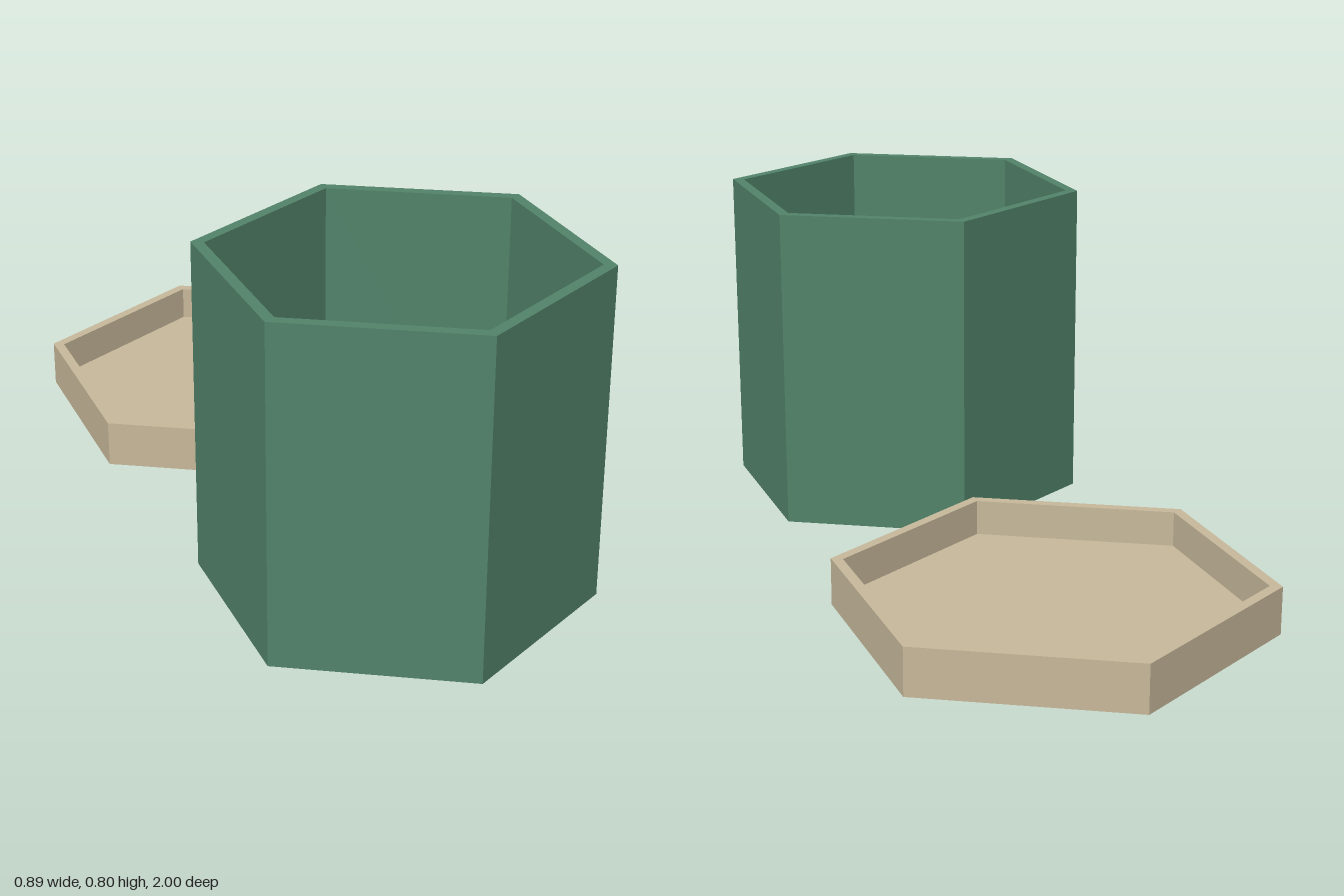
import * as THREE from 'three';

// Hexagon outline with a corner pointing along z
function hexPoints(radius) {
  return Array.from({ length: 6 }, (_, i) => {
    const a = Math.PI / 2 + (i * Math.PI) / 3;
    return new THREE.Vector2(radius * Math.cos(a), radius * Math.sin(a));
  });
}

// Extrude a shape upwards from y = 0
function extrudeUp(shape, height, material, name) {
  const geometry = new THREE.ExtrudeGeometry(shape, { depth: height, bevelEnabled: false, curveSegments: 32 });
  geometry.rotateX(-Math.PI / 2);
  const mesh = new THREE.Mesh(geometry, material);
  mesh.name = name;
  return mesh;
}

// Open hexagonal vessel: wall ring plus a floor, with an optional round drain hole
function hexVessel({ name, outer, inner, height, floor, drain, z, material }) {
  const vessel = new THREE.Group();
  vessel.name = name;

  const wall = new THREE.Shape(hexPoints(outer));
  wall.holes.push(new THREE.Path(hexPoints(inner)));
  vessel.add(extrudeUp(wall, height, material, name + 'Wall'));

  const base = new THREE.Shape(hexPoints(inner));
  if (drain) base.holes.push(new THREE.Path().absarc(0, 0, drain, 0, Math.PI * 2, true));
  vessel.add(extrudeUp(base, floor, material, name + 'Floor'));

  vessel.position.z = z;
  return vessel;
}

export function createModel() {
  const green = new THREE.MeshStandardMaterial({ color: 0x52836a });
  green.name = 'potGreen';
  const tan = new THREE.MeshStandardMaterial({ color: 0xc8b99b });
  tan.name = 'saucerTan';

  const model = new THREE.Group();
  model.name = 'planterWithSaucer';
  model.add(
    hexVessel({ name: 'pot', outer: 0.456, inner: 0.426, height: 0.8, floor: 0.03, drain: 0.046, z: 0.544, material: green }),
    hexVessel({ name: 'saucer', outer: 0.514, inner: 0.485, height: 0.115, floor: 0.028, drain: 0, z: -0.486, material: tan })
  );
  return model;
}
